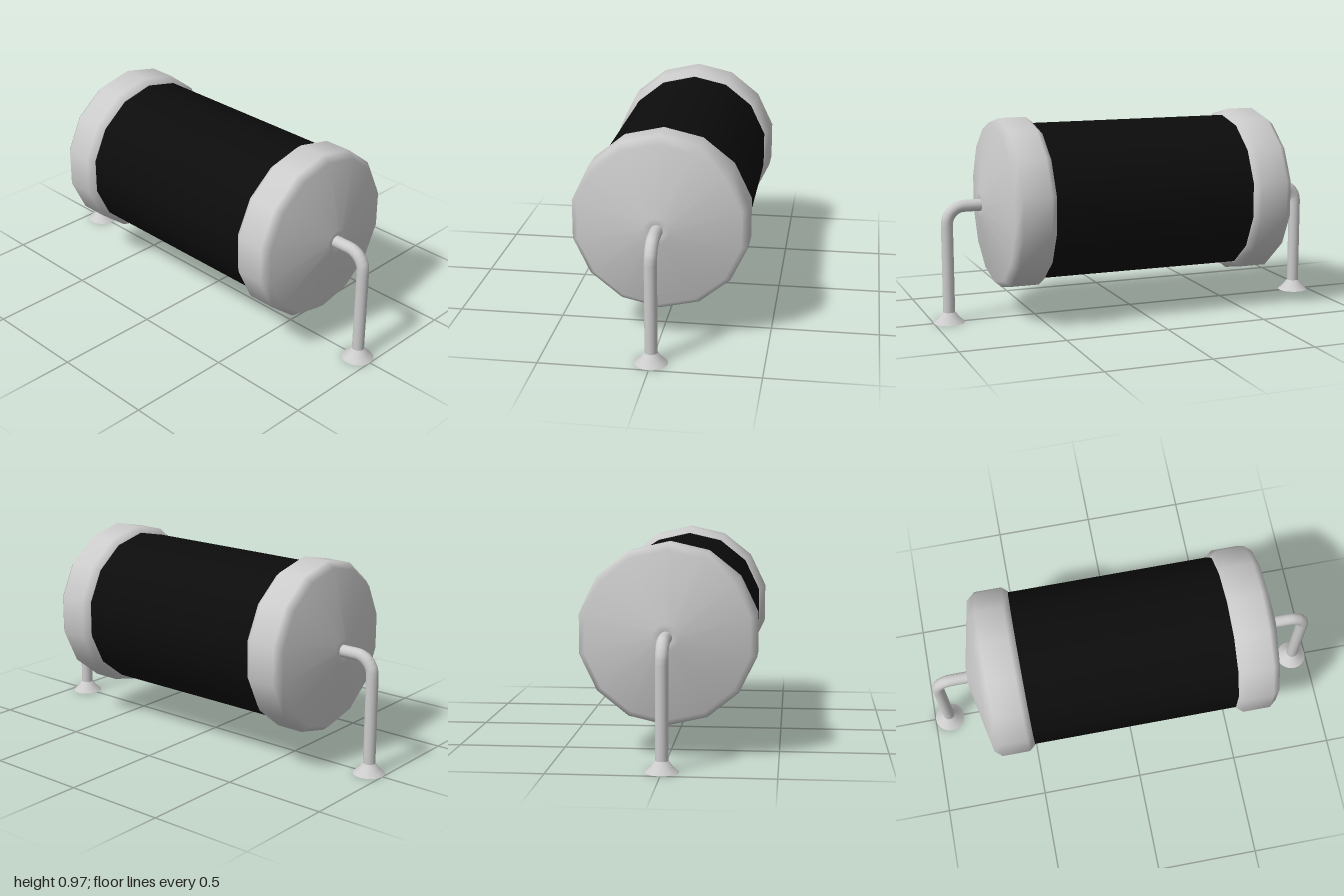
import * as THREE from 'three';

const AXIS_Y = 0.56, WIRE_R = 0.029, LEG_Z = 0.925, BEND = 0.085;

export function createModel() {
  const model = new THREE.Group();
  const grey = new THREE.MeshStandardMaterial({ color: 0xcccccc, side: THREE.DoubleSide });
  const black = new THREE.MeshStandardMaterial({ color: 0x0c0c0c });

  const add = (parent, name, geometry, material) => {
    const mesh = new THREE.Mesh(geometry, material);
    mesh.name = name;
    parent.add(mesh);
    return mesh;
  };
  const lathe = (profile, sides) =>
    new THREE.LatheGeometry(profile.map(([r, h]) => new THREE.Vector2(r, h)), sides);

  // 14-sided body lying along z, with a corner at the top
  const bodyGeo = new THREE.CylinderGeometry(0.38, 0.38, 1.04, 14, 1, true).rotateX(Math.PI / 2);
  add(model, 'body', bodyGeo, black).position.y = AXIS_Y;

  // Rounded end cap with a shallow cone and a small dimple for the wire
  const capGeo = lathe([
    [0.375, 0.5], [0.385, 0.5], [0.41, 0.53], [0.41, 0.665],
    [0.38, 0.7], [0.06, 0.766], [0.026, 0.76], [0, 0.755],
  ], 14).rotateX(Math.PI / 2);

  // Wire leaves the cap, bends through a quarter circle and drops to the foot
  const path = new THREE.CurvePath();
  const v = (y, z) => new THREE.Vector3(0, y, z);
  const points = [v(AXIS_Y, 0.74)];
  const steps = 8;
  for (let i = 0; i <= steps; i++) {
    const a = (i / steps) * Math.PI / 2;
    points.push(v(AXIS_Y - BEND + BEND * Math.cos(a), LEG_Z - BEND + BEND * Math.sin(a)));
  }
  points.push(v(0.04, LEG_Z));
  for (let i = 1; i < points.length; i++) path.add(new THREE.LineCurve3(points[i - 1], points[i]));
  const wireGeo = new THREE.TubeGeometry(path, 64, WIRE_R, 14, false);

  // Flared foot with a closed underside
  const footGeo = lathe([[0.075, 0], [0.049, 0.024], [0.03, 0.05], [0.026, 0.053]], 20);
  const soleGeo = new THREE.CircleGeometry(0.075, 20).rotateX(Math.PI / 2);

  // Both ends match
  for (const [name, turn] of [['frontEnd', 0], ['backEnd', Math.PI]]) {
    const end = new THREE.Group();
    end.name = name;
    add(end, 'cap', capGeo, grey).position.y = AXIS_Y;
    add(end, 'wire', wireGeo, grey);
    add(end, 'foot', footGeo, grey).position.z = LEG_Z;
    add(end, 'sole', soleGeo, grey).position.z = LEG_Z;
    end.rotation.y = turn;
    model.add(end);
  }
  return model;
}
